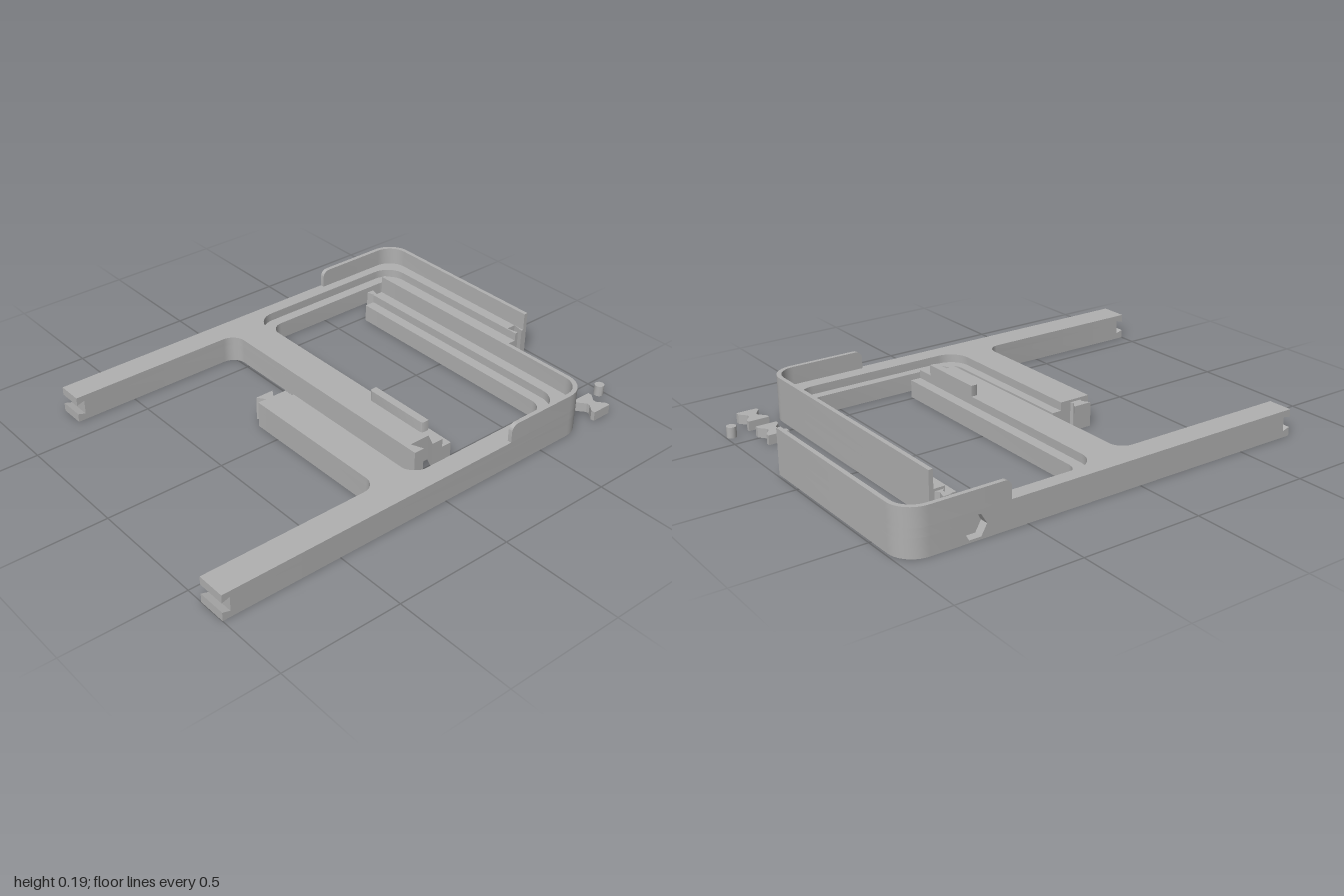
import * as THREE from 'three';
import { toCreasedNormals } from 'three/addons/utils/BufferGeometryUtils.js';

const grey = new THREE.MeshStandardMaterial({ color: 0xb0b0b0 });
grey.name = 'grey plastic';

const BASE = 0.075, TOP = 0.11, RIM = 0.185;

// Closed outline from [x, y, cornerRadius] points
function outline(pts, Type = THREE.Shape) {
  const s = new Type(), n = pts.length, k = 0.448;
  const P = pts.map(p => new THREE.Vector2(p[0], p[1]));
  P.forEach((c, i) => {
    const r = pts[i][2] || 0;
    const a = P[(i + n - 1) % n].clone().sub(c).normalize();
    const b = P[(i + 1) % n].clone().sub(c).normalize();
    const p = c.clone().addScaledVector(a, r), q = c.clone().addScaledVector(b, r);
    if (i) s.lineTo(p.x, p.y); else s.moveTo(p.x, p.y);
    if (r) s.bezierCurveTo(c.x + a.x * r * k, c.y + a.y * r * k, c.x + b.x * r * k, c.y + b.y * r * k, q.x, q.y);
  });
  s.closePath();
  return s;
}

function regular(Type, x, y, r, sides) {
  return outline(Array.from({ length: sides }, (_, i) => {
    const t = i / sides * Math.PI * 2;
    return [x + r * Math.cos(t), y + r * Math.sin(t)];
  }), Type);
}

function extrude(shape, depth) {
  const g = new THREE.ExtrudeGeometry(shape, { depth, bevelEnabled: false, curveSegments: 10 });
  return g;
}

function addMesh(group, name, geometry) {
  const m = new THREE.Mesh(toCreasedNormals(geometry, 0.6), grey);
  m.name = name;
  group.add(m);
}

// Plan outline ([x, z, radius]) raised from y0 to y1
function slab(group, name, pts, y0, y1, hole) {
  const s = outline(pts.map(([x, z, r]) => [x, -z, r]));
  if (hole) s.holes.push(regular(THREE.Path, hole[0], -hole[1], 0.018, 16));
  addMesh(group, name, extrude(s, y1 - y0).rotateX(-Math.PI / 2).translate(0, y0, 0));
}

// Front outline ([x, y, radius]) running from z0 to z1
function plate(group, name, pts, z0, z1, hole) {
  const s = outline(pts);
  if (hole) s.holes.push(hole);
  addMesh(group, name, extrude(s, z1 - z0).translate(0, 0, z0));
}

// Bar end with a dovetail slot running across it
function slottedEnd(group, x, z0, z1) {
  plate(group, 'slottedBarEnd', [[x, 0], [x + 0.04, 0], [x + 0.04, TOP], [x, TOP],
    [x, 0.076], [x + 0.033, 0.086], [x + 0.033, 0.026], [x, 0.036]], z0, z1);
}

// Start of the rim, with its upper corner rounded
function rimStart(group, x, z0, z1) {
  plate(group, 'rimStart', [[x, TOP], [x + 0.04, TOP], [x + 0.04, RIM], [x, RIM, 0.03]], z0, z1);
}

function frontHalf() {
  const g = new THREE.Group();
  g.name = 'frontFrameHalf';
  const left = [[-0.96, 0.695], [-0.96, 0.575], [-0.23, 0.575, 0.06], [-0.23, -0.12]];
  const right = [[0.75, -0.48], [0.75, 0.695, 0.1]];
  slab(g, 'frontFrameBase', [...left, [-0.055, -0.12], [-0.055, 0.575, 0.06],
    [0.64, 0.575, 0.06], [0.64, -0.48], ...right], 0, BASE, [0.695, 0.64]);
  slab(g, 'frontFrameTop', [...left, [-0.095, -0.12], [-0.095, 0.615, 0.09],
    [0.685, 0.615, 0.09], [0.685, -0.48], ...right], BASE, TOP);
  slab(g, 'frontRim', [[0.37, 0.695], [0.37, 0.677], [0.732, 0.677, 0.085],
    [0.732, -0.48], ...right], TOP, RIM);
  rimStart(g, 0.33, 0.677, 0.695);
  slottedEnd(g, -1, 0.575, 0.695);
  // Dovetail tongues on the arm ends
  slab(g, 'middleArmTongue', [[-0.19, -0.12], [-0.185, -0.135], [-0.206, -0.165],
    [-0.125, -0.165], [-0.146, -0.135], [-0.141, -0.12]], 0, 0.1);
  slab(g, 'sideArmTongue', [[0.69, -0.48], [0.702, -0.495], [0.692, -0.53],
    [0.726, -0.53], [0.716, -0.495], [0.728, -0.48]], 0, 0.1);
  return g;
}

function backHalf() {
  const g = new THREE.Group();
  g.name = 'backFrameHalf';
  // Outer edge, with a pocket for the port plate and a dovetail socket
  const outer = [[-0.72, -0.7], [0.64, -0.7], [0.64, -0.665], [0.79, -0.665], [0.79, -0.7],
    [0.99, -0.7, 0.1], [0.99, 0.15], [0.962, 0.15], [0.972, 0.1], [0.93, 0.1], [0.94, 0.15]];
  const inner = [[0.1, 0.515], [0.125, 0.465], [0.035, 0.465], [0.055, 0.515],
    [0.01, 0.515], [0.01, -0.595, 0.06], [-0.72, -0.595]];
  slab(g, 'backFrameBase', [...outer, [0.88, 0.15], [0.88, -0.595, 0.06],
    [0.195, -0.595, 0.06], [0.195, 0.515], ...inner], 0, BASE, [0.935, -0.645]);
  slab(g, 'backFrameTop', [...outer, [0.925, 0.15], [0.925, -0.64, 0.09],
    [0.15, -0.64, 0.09], [0.15, 0.515], ...inner], BASE, TOP);
  slab(g, 'backRim', [[0.605, -0.7], [0.99, -0.7, 0.1], [0.99, 0.15], [0.972, 0.15],
    [0.972, -0.682, 0.085], [0.605, -0.682]], TOP, RIM);
  rimStart(g, 0.565, -0.7, -0.682);
  slottedEnd(g, -0.76, -0.7, -0.595);
  // Hexagonal port in the back face
  plate(g, 'hexPortPlate', [[0.64, 0], [0.79, 0], [0.79, TOP], [0.64, TOP]], -0.7, -0.665,
    regular(THREE.Path, 0.715, 0.052, 0.048, 6));
  // Upright tab on the middle arm
  slab(g, 'middleArmTab', [[0.117, 0.14, 0.012], [0.15, 0.14], [0.15, 0.437],
    [0.117, 0.437, 0.012]], TOP, 0.155);
  return g;
}

export function createModel() {
  const model = new THREE.Group();
  model.name = 'twoPartFrame';
  model.add(frontHalf(), backHalf());

  // Loose double-dovetail keys
  for (const z of [0.47, 0.64]) {
    const half = [[-0.044, -0.055], [0.044, -0.055], [0.044, -0.038], [0.019, -0.007]];
    const pts = [...half, ...half.map(([x, d]) => [x, -d]).reverse().slice(0, 2)];
    pts.push([0.044, 0.055], [-0.044, 0.055], [-0.044, 0.038], [-0.019, 0.007], [-0.019, -0.007], [-0.044, -0.038]);
    slab(model, 'dovetailKey', pts.map(([x, d]) => [0.854 + x, z + d]), 0, 0.04);
  }

  // Loose pin
  addMesh(model, 'pin', new THREE.CylinderGeometry(0.02, 0.02, 0.045, 16).translate(0.976, 0.0225, 0.576));
  return model;
}
